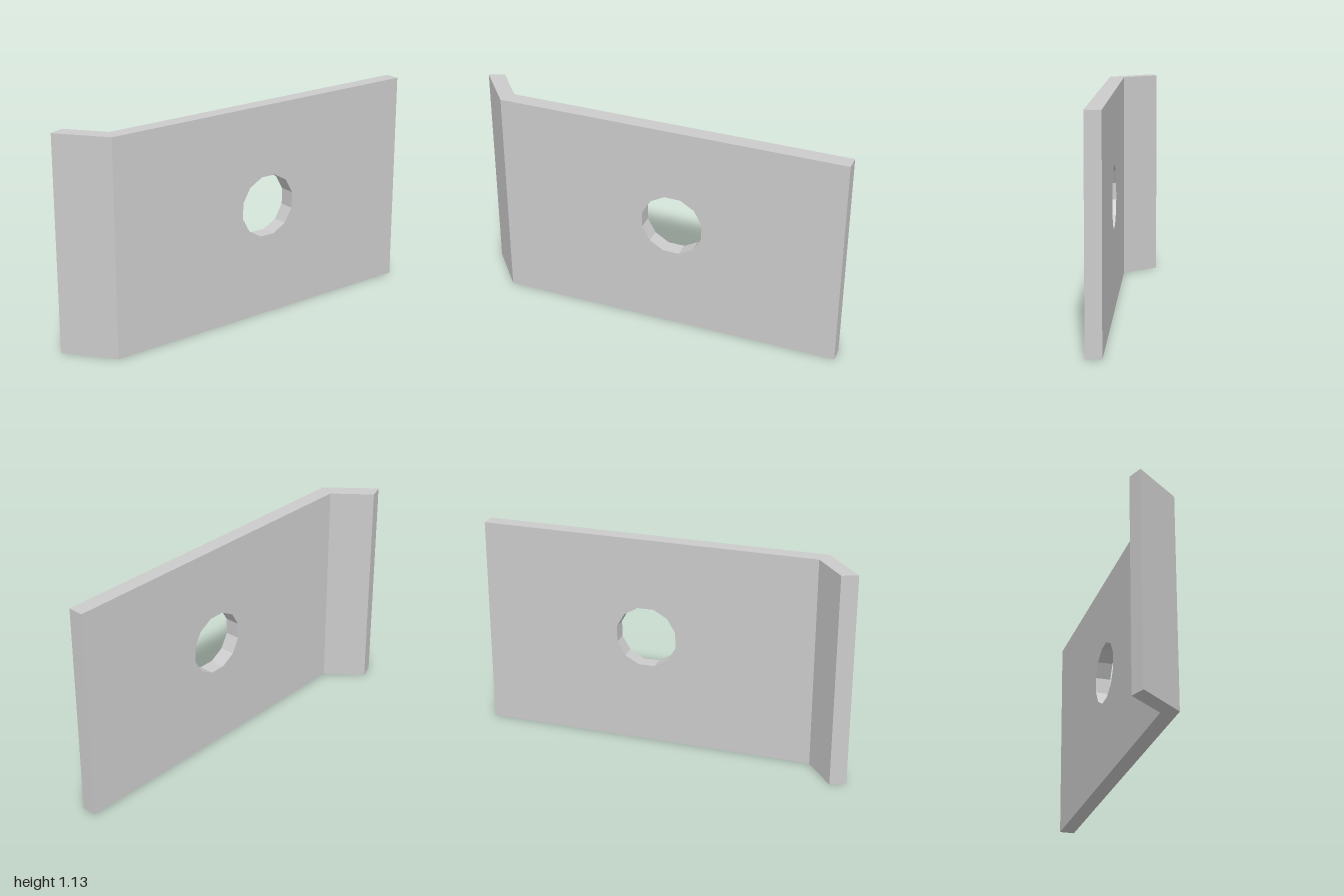
import * as THREE from 'three';

const HEIGHT = 1.126, FRONT = 0.13, BACK = 0.05;
const BEND_FRONT = -0.813, BEND_BACK = -0.776;

export function createModel() {
  const group = new THREE.Group();
  group.name = 'bentPlate';
  const material = new THREE.MeshStandardMaterial({ color: 0xcccccc, flatShading: true });
  const add = (name, geometry) => {
    geometry.computeVertexNormals();
    const mesh = new THREE.Mesh(geometry, material);
    mesh.name = name;
    group.add(mesh);
  };

  // Flat plate with a twelve-sided hole
  const outline = new THREE.Shape([
    new THREE.Vector2(BEND_FRONT, 0), new THREE.Vector2(1, 0),
    new THREE.Vector2(1, HEIGHT), new THREE.Vector2(BEND_FRONT, HEIGHT),
  ]);
  const hole = [];
  for (let i = 0; i < 12; i++) {
    const a = THREE.MathUtils.degToRad(14 + i * 30);
    hole.push(new THREE.Vector2(0.114 + 0.165 * Math.cos(a), 0.592 + 0.165 * Math.sin(a)));
  }
  outline.holes.push(new THREE.Path(hole));
  const plate = new THREE.ExtrudeGeometry(outline, { depth: FRONT - BACK, bevelEnabled: false });
  plate.translate(0, 0, BACK);

  // Mitre the plate's end where it meets the lip
  const pos = plate.attributes.position;
  for (let i = 0; i < pos.count; i++) {
    if (pos.getX(i) < -0.8 && pos.getZ(i) < BACK + 0.01) pos.setX(i, BEND_BACK);
  }
  add('plate', plate);

  // Lip folded backwards along the right edge, drawn as x, z and raised to full height
  const profile = [[BEND_FRONT, FRONT], [BEND_BACK, BACK], [-0.92, -0.13], [-1, -0.1]];
  const lip = new THREE.ExtrudeGeometry(
    new THREE.Shape(profile.map(([x, z]) => new THREE.Vector2(x, -z))),
    { depth: HEIGHT, bevelEnabled: false });
  lip.rotateX(-Math.PI / 2);
  add('foldedLip', lip);

  return group;
}
